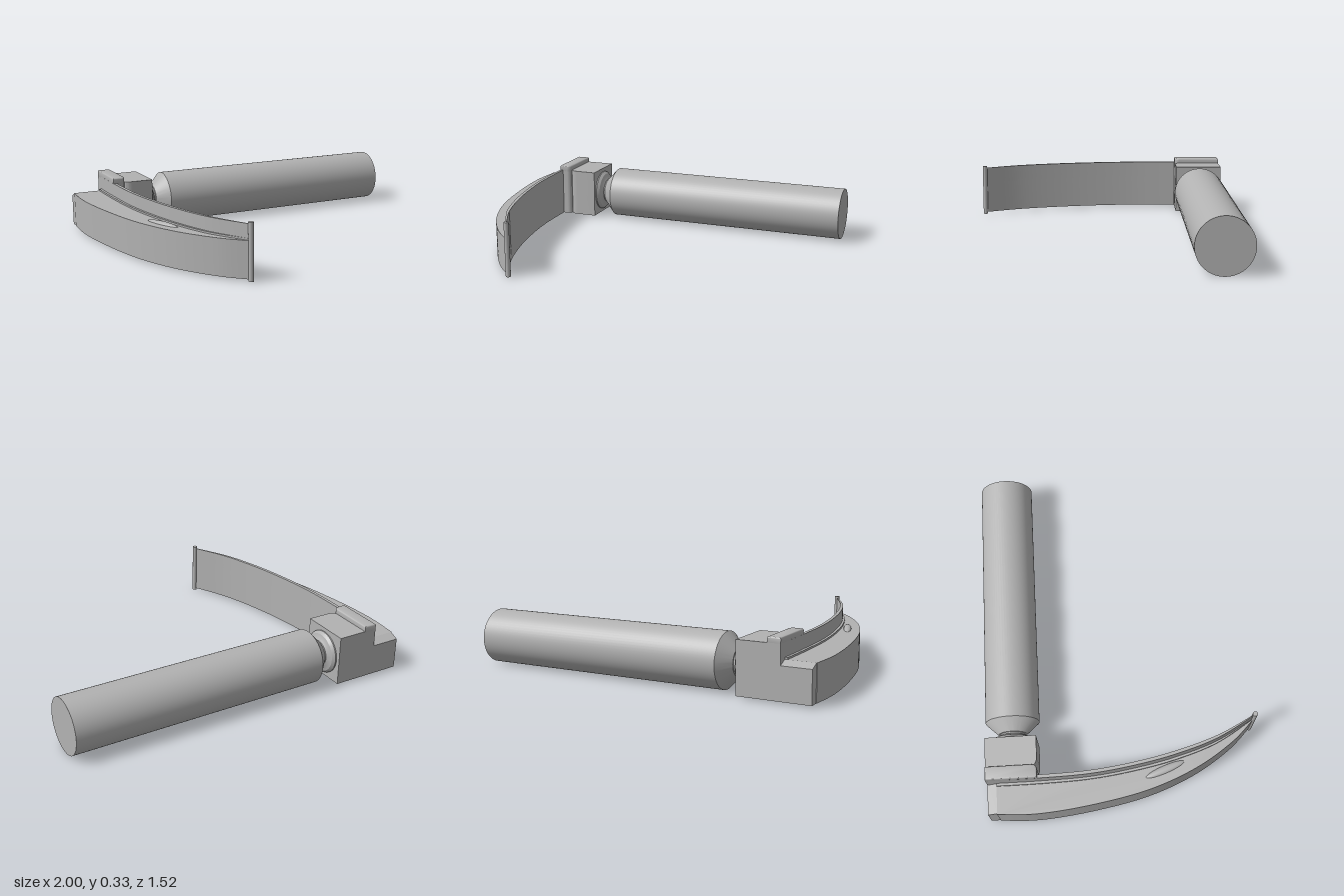
import * as THREE from 'three';
import { toCreasedNormals } from 'three/addons/utils/BufferGeometryUtils.js';

export function createModel() {
  const model = new THREE.Group();
  const steel = new THREE.MeshStandardMaterial({ color: 0xb2b2b2 });
  steel.name = 'brushed steel';

  const add = (name, geometry, x = 0, y = 0, z = 0) => {
    const mesh = new THREE.Mesh(geometry, steel);
    mesh.name = name;
    mesh.position.set(x, y, z);
    model.add(mesh);
    return mesh;
  };
  const v = ([x, z]) => new THREE.Vector2(x, -z);

  // Raises a plan outline (x, -z) from y0 to y1
  const slab = (name, shape, y0, y1, bevel = 0) => {
    const g = new THREE.ExtrudeGeometry(shape, {
      depth: y1 - y0 - bevel, bevelEnabled: bevel > 0, bevelThickness: bevel,
      bevelSize: bevel, bevelOffset: -bevel, bevelSegments: 3, curveSegments: 10,
    });
    g.rotateX(-Math.PI / 2);
    return add(name, toCreasedNormals(g, 0.6), 0, y0, 0);
  };

  // Handle with tapered shoulder, turned about the x axis
  const turned = (name, profile) => {
    const g = new THREE.LatheGeometry(profile.map(([r, x]) => new THREE.Vector2(r, x)), 64);
    g.rotateZ(-Math.PI / 2);
    add(name, toCreasedNormals(g, 0.5), 0, 0.153, -0.608);
  };
  turned('handle', [[0, -0.535], [0.08, -0.535], [0.152, -0.467], [0.152, 1], [0, 1]]);
  turned('neck', [[0, -0.6], [0.122, -0.6], [0.122, -0.575], [0.108, -0.56],
    [0.09, -0.555], [0.075, -0.545], [0.07, -0.53], [0, -0.53]]);

  // Hinge block with a rounded front corner
  const block = new THREE.Shape();
  block.moveTo(-0.76, 0.752);
  block.lineTo(-0.76, 0.49);
  block.lineTo(-0.747, 0.49);
  block.quadraticCurveTo(-0.738, 0.47, -0.7, 0.47);
  block.lineTo(-0.582, 0.47);
  block.lineTo(-0.582, 0.752);
  slab('hingeBlock', block, 0.012, 0.297);

  // Locking ridge beside the block
  const ridge = new THREE.Shape();
  ridge.moveTo(-0.822, 0.752);
  ridge.lineTo(-0.822, 0.47);
  ridge.lineTo(-0.775, 0.47);
  ridge.quadraticCurveTo(-0.749, 0.473, -0.749, 0.5);
  ridge.lineTo(-0.749, 0.752);
  slab('lockingRidge', ridge, 0.012, 0.297);
  slab('ridgeCap', ridge, 0.29, 0.327, 0.008);

  // Plan curves of the blade, base to tip
  const curve = (pts) => new THREE.SplineCurve(pts.map(v)).getPoints(48);
  const outer = curve([[-0.99, -0.7], [-1, -0.48], [-0.97, -0.19], [-0.905, 0.13],
    [-0.8, 0.4], [-0.665, 0.615], [-0.54, 0.748]]);
  const inner = curve([[-0.803, -0.7], [-0.803, -0.45], [-0.795, -0.19], [-0.765, 0.05],
    [-0.715, 0.29], [-0.64, 0.53], [-0.535, 0.745]]);
  const web = curve([[-0.822, -0.7], [-0.822, -0.45], [-0.814, -0.19], [-0.784, 0.05],
    [-0.734, 0.29], [-0.656, 0.53], [-0.538, 0.747]]);
  const fillet = curve([[-0.837, -0.7], [-0.837, -0.45], [-0.828, -0.19], [-0.798, 0.05],
    [-0.748, 0.29], [-0.667, 0.53], [-0.539, 0.747]]);
  const between = (a, b) => new THREE.Shape([...a, ...[...b].reverse()]);
  slab('blade', between(outer, inner), 0.012, 0.212);
  slab('bladeFlange', between(web, inner), 0.2, 0.297);
  slab('flangeFillet', between(fillet, inner), 0.205, 0.222);

  // Base of the blade, chamfered at the rear
  const base = new THREE.Shape();
  base.moveTo(0.7, 0.012);
  base.lineTo(0.752, 0.012);
  base.lineTo(0.752, 0.19);
  base.lineTo(0.7, 0.212);
  const baseGeometry = new THREE.ExtrudeGeometry(base, { depth: 0.183, bevelEnabled: false });
  baseGeometry.rotateY(Math.PI / 2);
  // Extrusion runs along +x, and the outline's x becomes -z
  add('bladeBase', baseGeometry, -0.987, 0, 0);

  // Rounded bead closing the tip
  add('tipBead', new THREE.CylinderGeometry(0.014, 0.014, 0.306, 24), -0.537, 0.155, 0.746);

  // Lamp housing: a long low bump on the blade
  const lamp = add('lampHousing', new THREE.SphereGeometry(1, 32, 16), -0.797, 0.21, 0.23);
  lamp.scale.set(0.022, 0.015, 0.116);
  lamp.rotation.y = Math.atan2(0.08, 0.22);

  return model;
}
